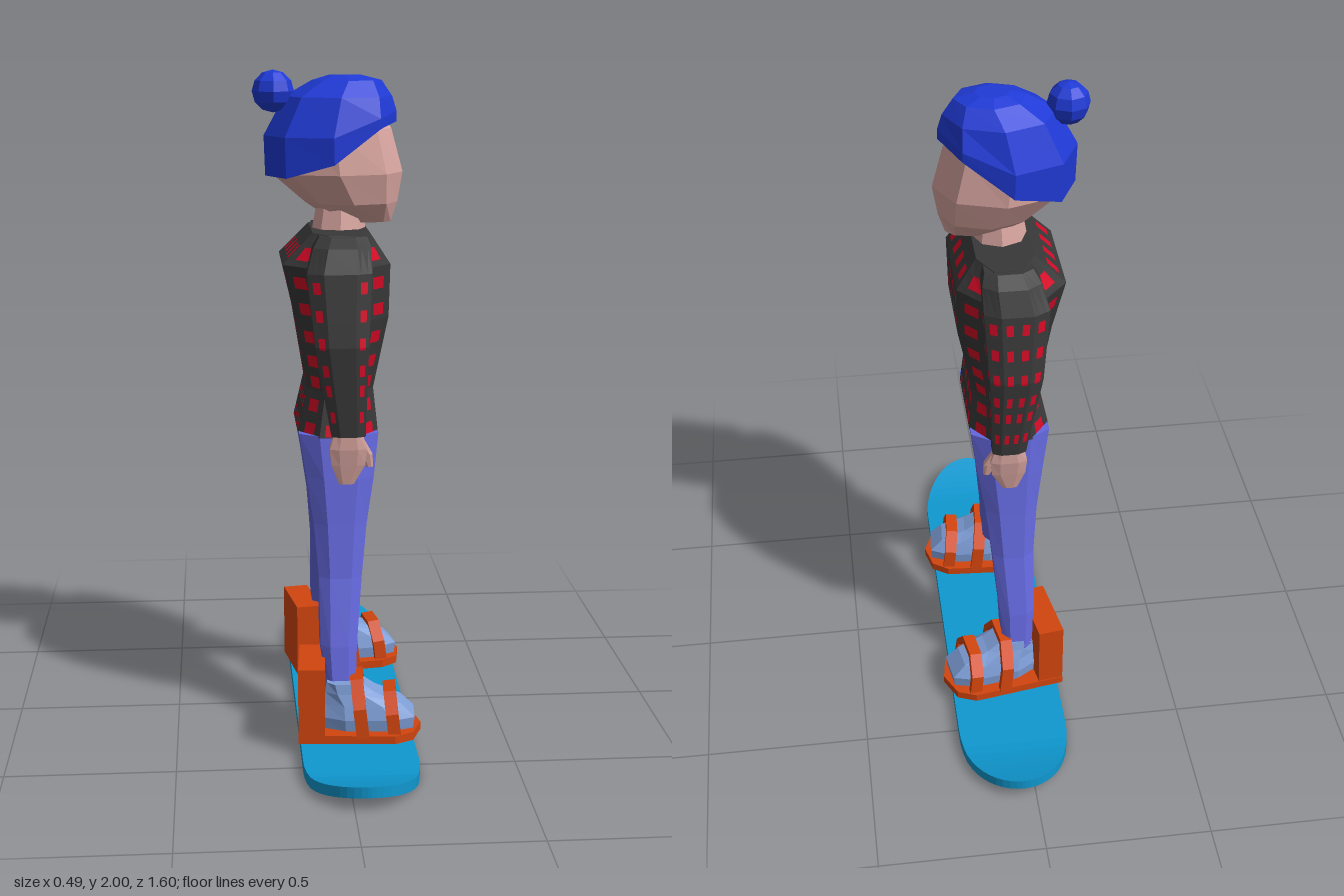
import * as THREE from 'three';

const mat = (name, color) => {
  const m = new THREE.MeshStandardMaterial({ color });
  m.name = name;
  return m;
};
const M = {
  skin: mat('skin', 0xdca8a2),
  hat: mat('hat blue', 0x1f3ad6),
  shirt: mat('charcoal', 0x383838),
  check: mat('check red', 0xd40a26),
  jeans: mat('denim', 0x6468dc),
  shoe: mat('shoe blue', 0x7f9fd8),
  binding: mat('binding orange', 0xd2450e),
  board: mat('board blue', 0x0f98d0),
};

// Cross-section outlines in (x, z), counter-clockwise from the +x side
const OCTAGON = Array.from({ length: 8 }, (_, i) => [Math.cos(i * Math.PI / 4), Math.sin(i * Math.PI / 4)]);
const CHAMFER = [[1, -.62], [1, .62], [.5, 1], [-.5, 1], [-1, .62], [-1, -.62], [-.5, -1], [.5, -1]];

function addMesh(parent, name, geometry, material) {
  const flat = geometry.index ? geometry.toNonIndexed() : geometry;
  flat.computeVertexNormals();
  const mesh = new THREE.Mesh(flat, material);
  mesh.name = name;
  parent.add(mesh);
  return mesh;
}

const ringPoints = ([y, xc, zc, hx, hz], profile) =>
  profile.map(([x, z]) => [xc + x * hx, y, zc + z * hz]);

// Capped skin over ascending rings of points; isSpot puts a face in the second material
function skinRings(rings, isSpot = () => false) {
  const plain = [], spots = [], n = rings[0].length;
  for (let k = 0; k < rings.length - 1; k++) {
    for (let i = 0; i < n; i++) {
      const j = (i + 1) % n, b = rings[k], t = rings[k + 1];
      (isSpot(k, i) ? spots : plain).push(...b[i], ...t[i], ...t[j], ...b[i], ...t[j], ...b[j]);
    }
  }
  [rings[0], rings[rings.length - 1]].forEach((r, top) => {
    const c = [0, 1, 2].map(a => r.reduce((s, p) => s + p[a], 0) / n);
    for (let i = 0; i < n; i++) {
      const j = (i + 1) % n;
      plain.push(...c, ...(top ? r[j] : r[i]), ...(top ? r[i] : r[j]));
    }
  });
  const g = new THREE.BufferGeometry();
  g.setAttribute('position', new THREE.Float32BufferAttribute([...plain, ...spots], 3));
  g.addGroup(0, plain.length / 3, 0);
  if (spots.length) g.addGroup(plain.length / 3, spots.length / 3, 1);
  return g;
}

// Rings are [y, centre x, centre z, half x, half z]
const loft = (rings, profile) => skinRings(rings.map(r => ringPoints(r, profile)));

// Loft cut into a grid so rows of checks lie exactly in its surface
function checkedLoft(rings, profile, counts, rows, half) {
  const fine = [], red = [];
  profile.forEach((p, i) => {
    const q = profile[(i + 1) % profile.length], m = counts[i];
    const put = (f, isRed) => {
      fine.push([p[0] + (q[0] - p[0]) * f, p[1] + (q[1] - p[1]) * f]);
      red.push(isRed);
    };
    put(0, false);
    for (let s = 0; s < m; s++) {
      put((s + .27) / m, true);
      put((s + .73) / m, false);
    }
  });
  const ys = [...rings.map(r => r[0]), ...rows.flatMap(y => [y - half, y + half])].sort((a, b) => a - b);
  const at = y => {
    let k = 0;
    while (k < rings.length - 2 && y > rings[k + 1][0]) k++;
    const a = rings[k], b = rings[k + 1], f = (y - a[0]) / (b[0] - a[0]);
    return a.map((v, i) => v + (b[i] - v) * f);
  };
  return skinRings(ys.map(y => ringPoints(at(y), fine)), (k, i) => {
    const mid = (ys[k] + ys[k + 1]) / 2;
    return red[i] && rows.some(y => Math.abs(mid - y) < half);
  });
}

function makeBoard(parent) {
  // Rounded ends and lifted tips
  const g = new THREE.BoxGeometry(.34, .033, 2, 2, 1, 44), p = g.attributes.position;
  for (let i = 0; i < p.count; i++) {
    const z = .8 * Math.sin(p.getZ(i) * Math.PI / 2), a = Math.abs(z);
    const e = Math.min(1, Math.max(0, (a - .53) / .27));
    const width = Math.max(.03, Math.sqrt(1 - e * e));
    const lift = .042 * Math.pow(Math.max(0, (a - .62) / .18), 1.4);
    p.setXYZ(i, .04 + p.getX(i) * width, p.getY(i) + .0165 + lift, z);
  }
  addMesh(parent, 'snowboard', g, M.board);
}

// Arched strap across the foot, its band running along x
function strapGeometry(w, h, depth) {
  const arch = (s, t) => [[-s, 0], [-s * .95, t * .55], [-s * .45, t], [s * .45, t], [s * .95, t * .55], [s, 0]];
  const pts = [...arch(w, h), ...arch(w - .018, h - .018).reverse()];
  const shape = new THREE.Shape(pts.map(p => new THREE.Vector2(...p)));
  return new THREE.ExtrudeGeometry(shape, { depth, bevelEnabled: false }).rotateY(Math.PI / 2);
}

function makeFoot(parent, name, z, angle) {
  const foot = new THREE.Group();
  foot.name = name;
  foot.position.set(-.13, .033, z);
  foot.rotation.y = angle;
  parent.add(foot);

  const outline = [[0, -.11], [.29, -.112], [.345, -.08], [.37, .0], [.345, .08], [.29, .112], [0, .11]];
  const plate = new THREE.Shape(outline.map(p => new THREE.Vector2(...p)));
  addMesh(foot, 'bindingPlate',
    new THREE.ExtrudeGeometry(plate, { depth: .025, bevelEnabled: false }).rotateX(-Math.PI / 2), M.binding);
  addMesh(foot, 'bindingHighback', new THREE.BoxGeometry(.08, .23, .215).translate(.04, .117, 0), M.binding);

  addMesh(foot, 'shoe', loft([
    [.02, .21, 0, .135, .075], [.06, .21, 0, .14, .08], [.1, .195, 0, .115, .07],
    [.135, .155, 0, .075, .06], [.165, .135, 0, .05, .055]], CHAMFER), M.shoe);

  [['ankleStrap', .175, .115, .165], ['toeStrap', .27, .1, .125]].forEach(([n, x, w, h]) => {
    const strap = addMesh(foot, n, strapGeometry(w, h, .038), M.binding);
    strap.position.set(x, .015, 0);
    strap.rotation.z = .12;
  });
}

function makeLimbs(parent, s, side) {
  addMesh(parent, side + 'Leg', loft([
    [.17, -.005, s * .27, .047, .062], [.3, -.008, s * .25, .055, .062], [.5, 0, s * .2, .065, .063],
    [.66, .002, s * .16, .08, .082], [.8, .003, s * .127, .102, .1], [.93, 0, s * .105, .12, .105]],
    CHAMFER), M.jeans);

  // Sleeve, with checks front and back and on the right outer face
  const outer = s < 0 ? 1 : 0;
  addMesh(parent, side + 'Sleeve', checkedLoft([
    [.95, .02, s * .28, .05, .031], [1.22, 0, s * .28, .078, .05],
    [1.43, -.005, s * .232, .095, .07], [1.5, .005, s * .19, .085, .08], [1.53, .01, s * .17, .07, .06]],
    CHAMFER, [1, 1, 0, 1, 1, 1, outer * 2, 1], [1.01, 1.09, 1.15, 1.23, 1.31, 1.39], .017),
    [M.shirt, M.check]);

  // Hand with thumb
  addMesh(parent, side + 'Hand', loft([
    [.8, .015, s * .272, .022, .009], [.86, .02, s * .275, .05, .018],
    [.91, .02, s * .278, .055, .024], [.965, .02, s * .28, .04, .024]], CHAMFER), M.skin);
  addMesh(parent, side + 'Thumb', loft([
    [.85, .085, s * .262, .01, .01], [.89, .075, s * .265, .018, .014], [.94, .045, s * .272, .02, .014]],
    CHAMFER), M.skin);
}

function makeHead(parent) {
  addMesh(parent, 'neck', loft([[1.5, .01, 0, .085, .085], [1.61, .015, 0, .07, .07]], OCTAGON), M.skin);
  addMesh(parent, 'head', loft([
    [1.55, .085, 0, .085, .04], [1.61, .05, 0, .14, .112], [1.7, .005, 0, .2, .155],
    [1.83, -.01, 0, .18, .155], [1.91, .01, 0, .11, .09]], OCTAGON), M.skin);

  // Knitted hat: the rim is low behind and climbs towards the forehead
  const rim = x => 1.69 + .16 * Math.min(1, Math.max(0, (x + .07) / .22));
  const low = ringPoints([0, -.012, 0, .198, .168], OCTAGON).map(([x, , z]) => [x, rim(x), z]);
  const mid = ringPoints([0, -.014, 0, .2, .17], OCTAGON)
    .map(([x, , z]) => [x, Math.max(1.81, rim(x) + .03), z]);
  const crown = [[1.925, .01, 0, .162, .135], [1.972, .035, 0, .105, .085], [1.987, .03, 0, .05, .045]]
    .map(r => ringPoints(r, OCTAGON));
  addMesh(parent, 'hat', skinRings([low, mid, ...crown]), M.hat);
  addMesh(parent, 'pompom', new THREE.SphereGeometry(.063, 8, 6).translate(-.185, 1.94, 0), M.hat);
}

export function createModel() {
  const model = new THREE.Group();
  model.name = 'snowboarder';

  makeBoard(model);
  makeFoot(model, 'leftFoot', -.255, .16);
  makeFoot(model, 'rightFoot', .295, -.07);
  makeLimbs(model, -1, 'left');
  makeLimbs(model, 1, 'right');

  addMesh(model, 'hips', loft([
    [.785, 0, 0, .05, .035], [.84, 0, 0, .095, .11], [.93, 0, 0, .119, .2]], CHAMFER), M.jeans);

  // Checked shirt body
  addMesh(model, 'shirtBody', checkedLoft([
    [.925, 0, 0, .122, .212], [1.06, .008, 0, .1, .187], [1.28, .012, 0, .14, .215],
    [1.44, -.005, 0, .16, .24], [1.532, .01, 0, .085, .215]],
    CHAMFER, [4, 1, 2, 1, 4, 1, 2, 1], [.945, 1.015, 1.085, 1.15, 1.225, 1.31, 1.39, 1.475], .018),
    [M.shirt, M.check]);

  makeHead(model);
  return model;
}
